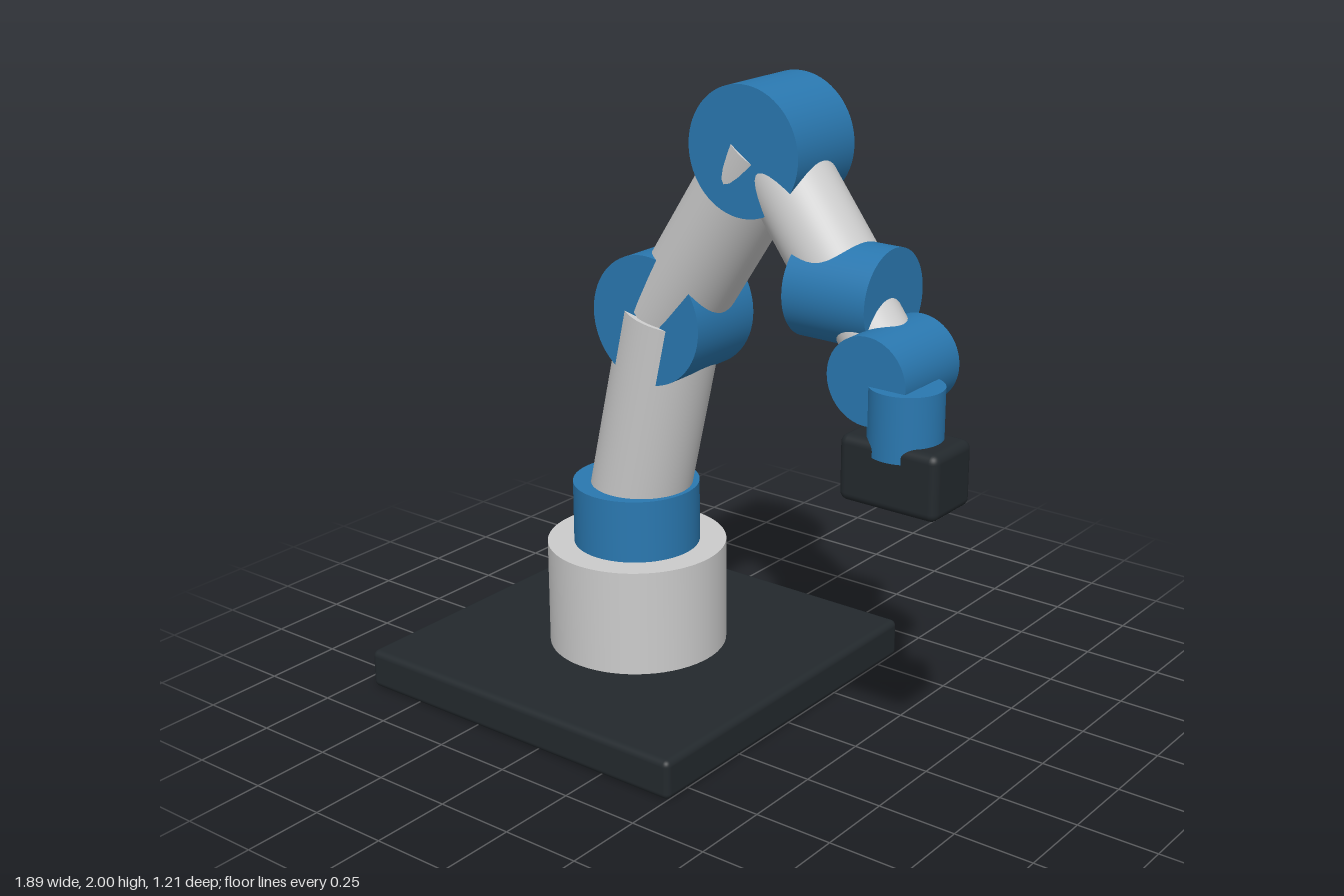
import * as THREE from 'three';
import { RoundedBoxGeometry } from 'three/addons/geometries/RoundedBoxGeometry.js';

export function createModel() {
  const model = new THREE.Group();
  model.name = 'roboticArm';

  const grey = new THREE.MeshStandardMaterial({ color: 0xcccccc });
  const blue = new THREE.MeshStandardMaterial({ color: 0x2a78b0 });
  const dark = new THREE.MeshStandardMaterial({ color: 0x23292d });
  const v = (x, y, z) => new THREE.Vector3(x, y, z);
  const UP = v(0, 1, 0);

  function add(name, geometry, material, position) {
    const mesh = new THREE.Mesh(geometry, material);
    mesh.name = name;
    mesh.position.copy(position);
    model.add(mesh);
    return mesh;
  }

  // Capped cylinder centred on a point, along a given axis
  function drum(name, center, axis, radius, length, material) {
    const mesh = add(name, new THREE.CylinderGeometry(radius, radius, length, 64), material, center);
    mesh.quaternion.setFromUnitVectors(UP, axis);
  }

  // Tube running between two joint centres
  function link(name, from, to, radius) {
    const dir = to.clone().sub(from);
    const mid = from.clone().add(to).multiplyScalar(0.5);
    drum(name, mid, dir.clone().normalize(), radius, dir.length(), grey);
  }

  const X = v(1, 0, 0), Z = v(0, 0, 1);

  // Joint centres from the base to the tool
  const turret = v(-0.345, 0.565, 0);
  const shoulder = v(-0.19, 1.245, 0);
  const elbow = v(0.2, 1.813, 0.042);
  const forearmJoint = v(0.525, 1.455, 0.107);
  const wrist = v(0.705, 1.285, 0.17);
  const toolJoint = v(0.79, 1.18, 0.234);

  // Base
  add('basePlate', new RoundedBoxGeometry(1.205, 0.125, 1.205, 4, 0.02), dark, v(-0.345, 0.0625, 0));
  drum('pedestal', v(-0.345, 0.295, 0), UP, 0.283, 0.34, grey);

  // Joints
  drum('turretJoint', turret, UP, 0.199, 0.2, blue);
  drum('shoulderJoint', shoulder, Z, 0.199, 0.27, blue);
  drum('elbowJoint', elbow, Z, 0.188, 0.272, blue);
  drum('forearmJoint', forearmJoint, X, 0.146, 0.27, blue);
  drum('wristJoint', wrist, Z, 0.125, 0.27, blue);
  drum('toolJoint', toolJoint, UP, 0.104, 0.188, blue);

  // Arm links
  link('lowerArm', turret, shoulder, 0.157);
  link('upperArm', shoulder, elbow, 0.143);
  link('forearm', elbow, forearmJoint, 0.125);
  link('wristLink', forearmJoint, wrist, 0.1);

  // Tool head
  add('toolHead', new RoundedBoxGeometry(0.31, 0.19, 0.187, 4, 0.025), dark, v(0.79, 1.035, 0.234));

  return model;
}
